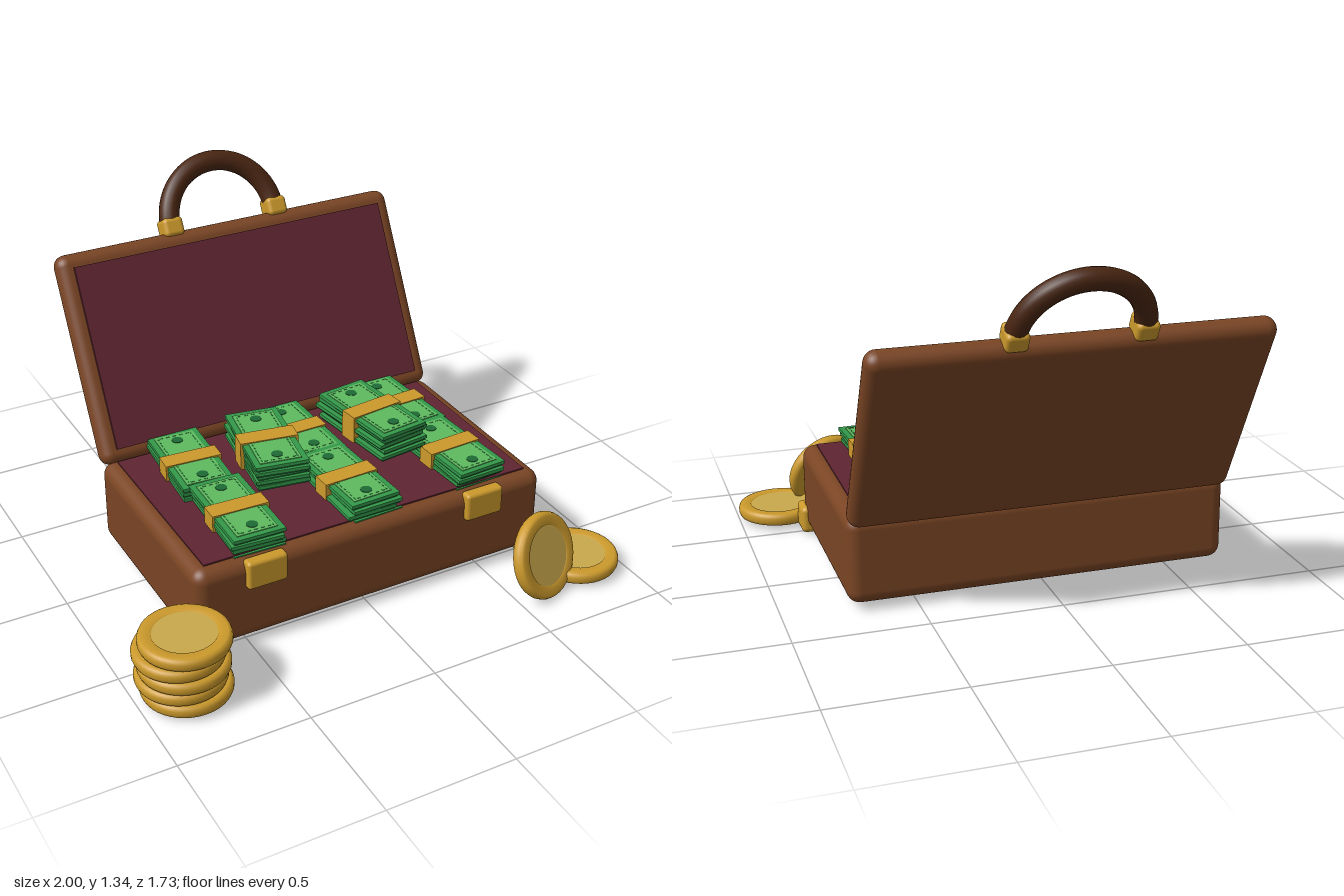
import * as THREE from 'three';
import { RoundedBoxGeometry } from 'three/addons/geometries/RoundedBoxGeometry.js';

const mat = (name, color) => new THREE.MeshStandardMaterial({ name, color });
const leather = mat('brown leather', 0x7a4524);
const lining = mat('burgundy lining', 0x5e2431);
const grip = mat('dark grip', 0x4a2612);
const gold = mat('gold', 0xcc9a2c);
const paleGold = mat('pale gold', 0xcaa94c);
const noteGreen = mat('note green', 0x339a4a);
const edgeGreen = mat('dark note green', 0x1d6a34);
const panelGreen = mat('light note green', 0x5fba5f);

const rad = THREE.MathUtils.degToRad;
const CX = 0.025;   // centre of the case in x
const CZ = 0.105;   // centre of the case in z

let seed = 11;
const jitter = (amount) => {
  seed = (seed * 16807) % 2147483647;
  return (seed / 2147483647 - 0.5) * 2 * amount;
};

function add(parent, name, geometry, material, x = 0, y = 0, z = 0) {
  const mesh = new THREE.Mesh(geometry, material);
  mesh.name = name;
  mesh.position.set(x, y, z);
  parent.add(mesh);
  return mesh;
}
const box = (w, h, d) => new THREE.BoxGeometry(w, h, d);
const rounded = (w, h, d, r) => new RoundedBoxGeometry(w, h, d, 4, r);

// Open lid, built upright and then leaned back
function makeLid() {
  const lid = new THREE.Group();
  lid.name = 'lid';
  add(lid, 'lidShell', rounded(1.47, 0.832, 0.094, 0.045), leather);
  add(lid, 'lidLining', box(1.35, 0.72, 0.024), lining, 0, 0, 0.047);
  add(lid, 'handle', new THREE.TorusGeometry(0.23, 0.041, 16, 40, Math.PI), grip, 0, 0.437, 0);
  for (const side of [-1, 1])
    add(lid, 'handleMount', rounded(0.084, 0.075, 0.092, 0.018), gold, side * 0.23, 0.437, 0);
  lid.position.set(CX, 0.717, -0.51);
  lid.rotation.x = -rad(28);
  return lid;
}

// Coin with a raised, rounded rim and a paler sunken face
const rimProfile = [
  [0.112, -0.015], [0.118, -0.024], [0.15, -0.025], [0.161, -0.02], [0.166, -0.008],
  [0.166, 0.008], [0.161, 0.02], [0.15, 0.025], [0.118, 0.024], [0.112, 0.015],
].map(([r, y]) => new THREE.Vector2(r, y));
const rimGeometry = new THREE.LatheGeometry(rimProfile, 40);
const faceGeometry = new THREE.CylinderGeometry(0.116, 0.116, 0.04, 40);

function makeCoin(x, y, z) {
  const coin = new THREE.Group();
  coin.name = 'coin';
  add(coin, 'coinRim', rimGeometry, gold);
  add(coin, 'coinFace', faceGeometry, paleGold);
  coin.position.set(x, y, z);
  return coin;
}

// Printed details on the top note of a bundle
function addPrint(note, top) {
  add(note, 'notePanel', box(0.16, 0.004, 0.365), panelGreen, 0, top + 0.001, 0);
  const y = top + 0.0035;
  for (const s of [-1, 1]) {
    add(note, 'medallion', new THREE.CylinderGeometry(0.022, 0.022, 0.003, 16), edgeGreen, 0, y, s * 0.135);
    for (let i = -7; i <= 7; i++)
      add(note, 'borderDash', box(0.004, 0.002, 0.013), noteGreen, s * 0.068, y, i * 0.0235);
    for (let i = -2; i <= 2; i++)
      add(note, 'borderDash', box(0.013, 0.002, 0.004), noteGreen, i * 0.027, y, s * 0.17);
  }
}

// Banded bundle of loosely stacked notes
const NOTES = 5, PITCH = 0.021;
function makeBundle(x, y, z, turn) {
  const bundle = new THREE.Group();
  bundle.name = 'moneyBundle';
  for (let i = 0; i < NOTES; i++) {
    const note = new THREE.Group();
    note.name = 'notes';
    const loose = i === NOTES - 1 ? 0.3 : 1;
    note.position.set(jitter(0.012) * loose, (i - (NOTES - 1) / 2) * PITCH, jitter(0.012) * loose);
    note.rotation.y = jitter(0.035) * loose;
    add(note, 'noteStack', box(0.205, 0.014, 0.41), noteGreen);
    add(note, 'noteGap', box(0.195, 0.021, 0.4), edgeGreen, 0, -0.004, 0);
    if (i === NOTES - 1) addPrint(note, 0.007);
    bundle.add(note);
  }
  add(bundle, 'paperBand', box(0.226, 0.112, 0.076), gold);
  bundle.position.set(x, y, z);
  bundle.rotation.y = rad(turn);
  return bundle;
}

export function createModel() {
  const model = new THREE.Group();
  model.name = 'moneyCase';

  // Lower case
  add(model, 'caseBase', rounded(1.47, 0.34, 0.88, 0.05), leather, CX, 0.2, CZ);
  add(model, 'caseLining', box(1.36, 0.009, 0.78), lining, CX, 0.371, CZ);
  for (const side of [-1, 1]) {
    add(model, 'latch', rounded(0.16, 0.115, 0.05, 0.014), gold, CX + side * 0.46, 0.316, 0.542);
    add(model, 'cornerGuard', rounded(0.115, 0.11, 0.115, 0.022), gold, CX + side * 0.702, 0.07, 0.5);
  }
  model.add(makeLid());

  // Money: three columns below, two bundles on top
  const columns = [[-0.43, -4, -2], [0.03, 1, 2], [0.49, 3, 3]];
  for (const [x, backTurn, frontTurn] of columns) {
    model.add(makeBundle(x, 0.384, -0.095, backTurn));
    model.add(makeBundle(x + 0.005, 0.387, 0.295, frontTurn));
  }
  model.add(makeBundle(-0.2, 0.515, 0.097, -10));
  model.add(makeBundle(0.257, 0.515, 0.097, 7));

  // Coin stack on the right, loose coins on the left
  const shifts = [0.007, -0.008, 0, -0.013, 0.007];
  shifts.forEach((dx, i) =>
    model.add(makeCoin(-0.822 + dx, 0.045 + i * 0.05, 0.67 + (i % 2 ? -0.004 : 0.006))));
  model.add(makeCoin(0.834, 0.047, 0.695));
  const leaning = makeCoin(0.622, 0.164, 0.77);
  leaning.quaternion.setFromUnitVectors(
    new THREE.Vector3(0, 1, 0), new THREE.Vector3(0.33, 0.35, 0.88).normalize());
  model.add(leaning);

  return model;
}
